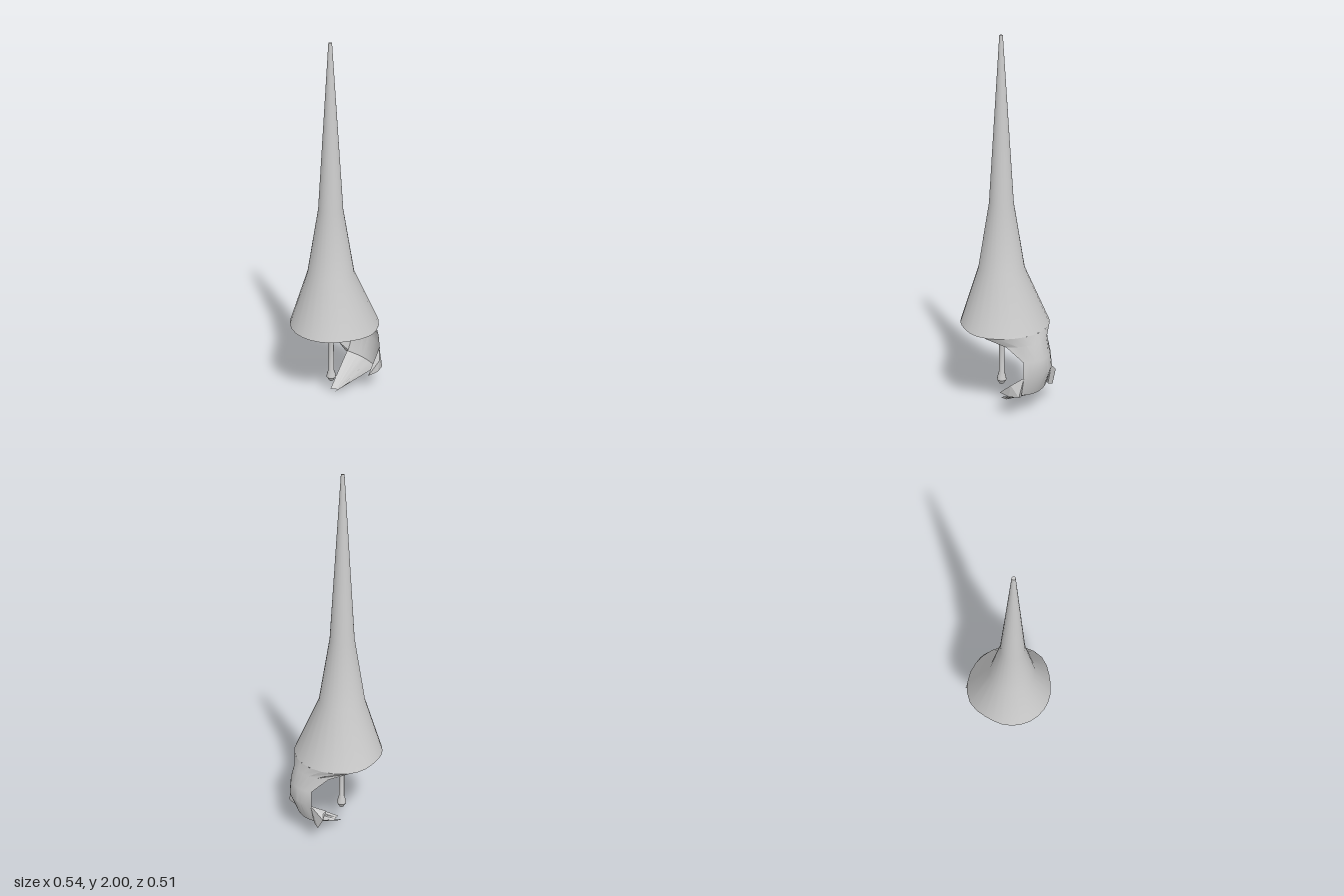
import * as THREE from 'three';
import { toCreasedNormals } from 'three/addons/utils/BufferGeometryUtils.js';
import { ConvexGeometry } from 'three/addons/geometries/ConvexGeometry.js';

const AXIS_X = -0.045;
const RIM_Y = 0.46;
const LIP_ANGLE = THREE.MathUtils.degToRad(67);

const smooth = new THREE.MeshStandardMaterial({ color: 0xcccccc, side: THREE.DoubleSide });
const faceted = new THREE.MeshStandardMaterial({ color: 0xcccccc, flatShading: true });

// The rim swells on the side that carries the lip
const rimRadius = (angle) =>
  THREE.MathUtils.lerp(0.227, 0.264, THREE.MathUtils.smoothstep(Math.cos(angle), -0.45, 0.4));

function part(name, geometry, material = smooth) {
  const mesh = new THREE.Mesh(geometry, material);
  mesh.name = name;
  return mesh;
}

function lathe(profile, segments) {
  return new THREE.LatheGeometry(profile.map(([r, y]) => new THREE.Vector2(r, y)), segments);
}

// Push every vertex on the rim ring out to the swollen outline
function shapeRim(geometry) {
  const p = geometry.attributes.position;
  for (let i = 0; i < p.count; i++) {
    const x = p.getX(i), z = p.getZ(i);
    if (Math.abs(p.getY(i) - RIM_Y) > 1e-4 || Math.hypot(x, z) < 0.1) continue;
    const a = Math.atan2(z, x), r = rimRadius(a);
    p.setXYZ(i, r * Math.cos(a), RIM_Y, r * Math.sin(a));
  }
  return geometry;
}

// Curved sheet joining cross-sections, each an array of [x, y, z]
function sheet(rows) {
  const cols = rows[0].length;
  const index = [];
  for (let r = 0; r < rows.length - 1; r++) {
    for (let c = 0; c < cols - 1; c++) {
      const a = r * cols + c, b = a + cols;
      index.push(a, a + 1, b, b, a + 1, b + 1);
    }
  }
  const g = new THREE.BufferGeometry();
  g.setAttribute('position', new THREE.Float32BufferAttribute(rows.flat(2), 3));
  g.setIndex(index);
  return toCreasedNormals(g, 0.5);
}

function lipGeometry() {
  const t = Array.from({ length: 9 }, (_, i) => 1 - i / 4);
  // Top row follows the rim
  const rows = [t.map((s) => {
    const a = s * LIP_ANGLE, r = rimRadius(a);
    return [AXIS_X + r * Math.cos(a), RIM_Y, r * Math.sin(a)];
  })];
  // Spine x, spine y, edge x, edge y, half width
  const sections = [
    [0.235, 0.41, 0.14, 0.405, 0.16],
    [0.262, 0.325, 0.215, 0.325, 0.11],
    [0.268, 0.24, 0.22, 0.24, 0.118],
    [0.218, 0.118, 0.185, 0.13, 0.12],
    [0.0, 0.0, -0.033, 0.01, 0.02],
  ];
  for (const [sx, sy, ex, ey, w] of sections) {
    rows.push(t.map((s) => [
      THREE.MathUtils.lerp(sx, ex, s * s), THREE.MathUtils.lerp(sy, ey, s * s), w * s,
    ]));
  }
  return sheet(rows);
}

const hull = (points) => new ConvexGeometry(points.map((p) => new THREE.Vector3(...p)));

export function createModel() {
  const model = new THREE.Group();
  model.name = 'flower';

  // Long tapering tube with a flat underside
  const tube = new THREE.Group();
  tube.name = 'flowerTube';
  tube.position.x = AXIS_X;
  tube.add(
    part('tubeWall', shapeRim(lathe([[0.24, RIM_Y], [0.126, 0.77], [0.066, 1.13], [0.009, 2]], 26))),
    part('tubeUnderside', shapeRim(lathe([[0, RIM_Y], [0.24, RIM_Y]], 26))),
    part('tubeTip', lathe([[0.009, 2], [0, 2]], 26)),
  );
  model.add(tube);

  // Hanging stamen: funnel, rod and pointed bulb
  const stamen = part('stamen', toCreasedNormals(lathe([
    [0, 0.08], [0.012, 0.085], [0.027, 0.11], [0.025, 0.125], [0.016, 0.155],
    [0.015, 0.34], [0.023, 0.395], [0.065, RIM_Y],
  ], 12), 0.6));
  stamen.position.x = AXIS_X;
  model.add(stamen);

  // Curled lip with its two side lobes
  model.add(part('lip', lipGeometry()));
  model.add(part('leftLobe', hull([
    [0.222, 0.24, 0.112], [0.2, 0.122, 0.11], [0.215, 0.135, 0.145],
    [0.175, 0.2, 0.165], [0.16, 0.13, 0.165], [0.09, 0.13, 0.16],
  ]), faceted));
  model.add(part('rightLobe', hull([
    [0.222, 0.24, -0.112], [0.2, 0.122, -0.11], [0.175, 0.2, -0.165],
    [0.19, 0.18, -0.188], [0.2, 0.11, -0.15], [0.14, 0.195, -0.14],
  ]), faceted));

  return model;
}
